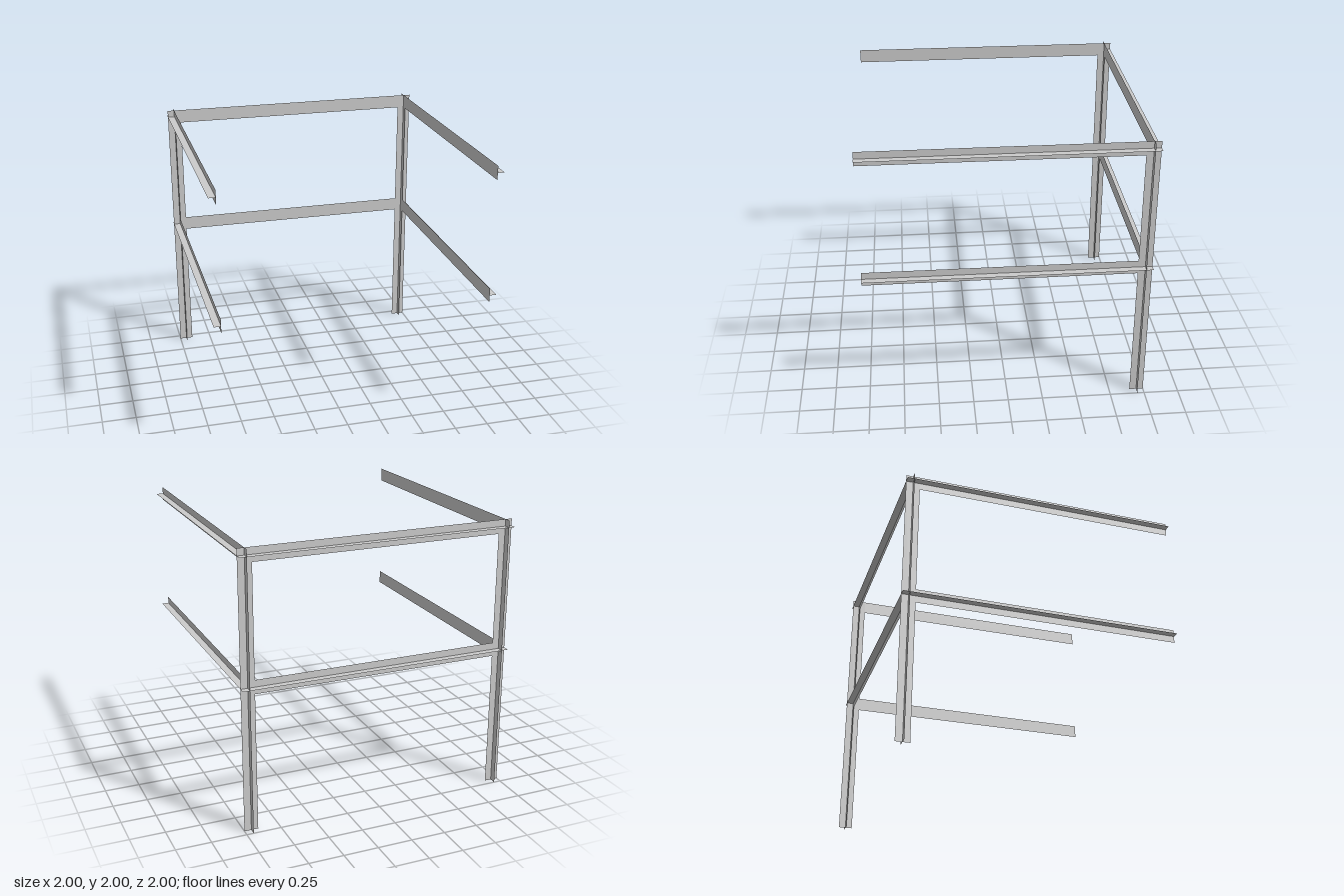
import * as THREE from 'three';

const HALF = Math.PI / 2;
const W = 0.1;      // full plate width
const C = 0.95;     // centre line of posts and rails
const material = new THREE.MeshStandardMaterial({ color: 0xcccccc, side: THREE.DoubleSide });

// Thin plate, size w x h, turned to face z (no turn), x or y
function plate(name, w, h, position, facing = 'z') {
  const geometry = new THREE.PlaneGeometry(w, h);
  if (facing === 'x') geometry.rotateY(HALF);
  if (facing === 'y') geometry.rotateX(-HALF);
  const mesh = new THREE.Mesh(geometry, material);
  mesh.name = name;
  mesh.position.set(...position);
  return mesh;
}

function part(name, ...meshes) {
  const group = new THREE.Group();
  group.name = name;
  group.add(...meshes);
  return group;
}

export function createModel() {
  const model = new THREE.Group();
  model.name = 'openFrame';

  // Rear posts with a cross-shaped section
  for (const [side, s] of [['left', 1], ['right', -1]]) {
    model.add(part(`${side}Post`,
      plate('postCrossPlate', W, 2, [s * C, 1, -C]),
      plate('postSidePlate', W, 2, [s * C, 1, -C], 'x')));
  }

  // Two levels of rails: upright web with a flange pointing outward at mid-height
  for (const [level, y] of [['lower', 1.05], ['upper', 1.95]]) {
    model.add(part(`${level}BackRail`,
      plate('railWeb', 1.8, W, [0, y, -C]),
      plate('railFlange', 2, W / 2, [0, y, -0.975], 'y')));
    for (const [side, s] of [['Left', 1], ['Right', -1]]) {
      model.add(part(`${level}${side}Rail`,
        plate('railWeb', 1.9, W, [s * C, y, 0.05], 'x'),
        plate('railFlange', W / 2, 1.95, [s * 0.975, y, 0.025], 'y')));
    }
  }
  return model;
}
